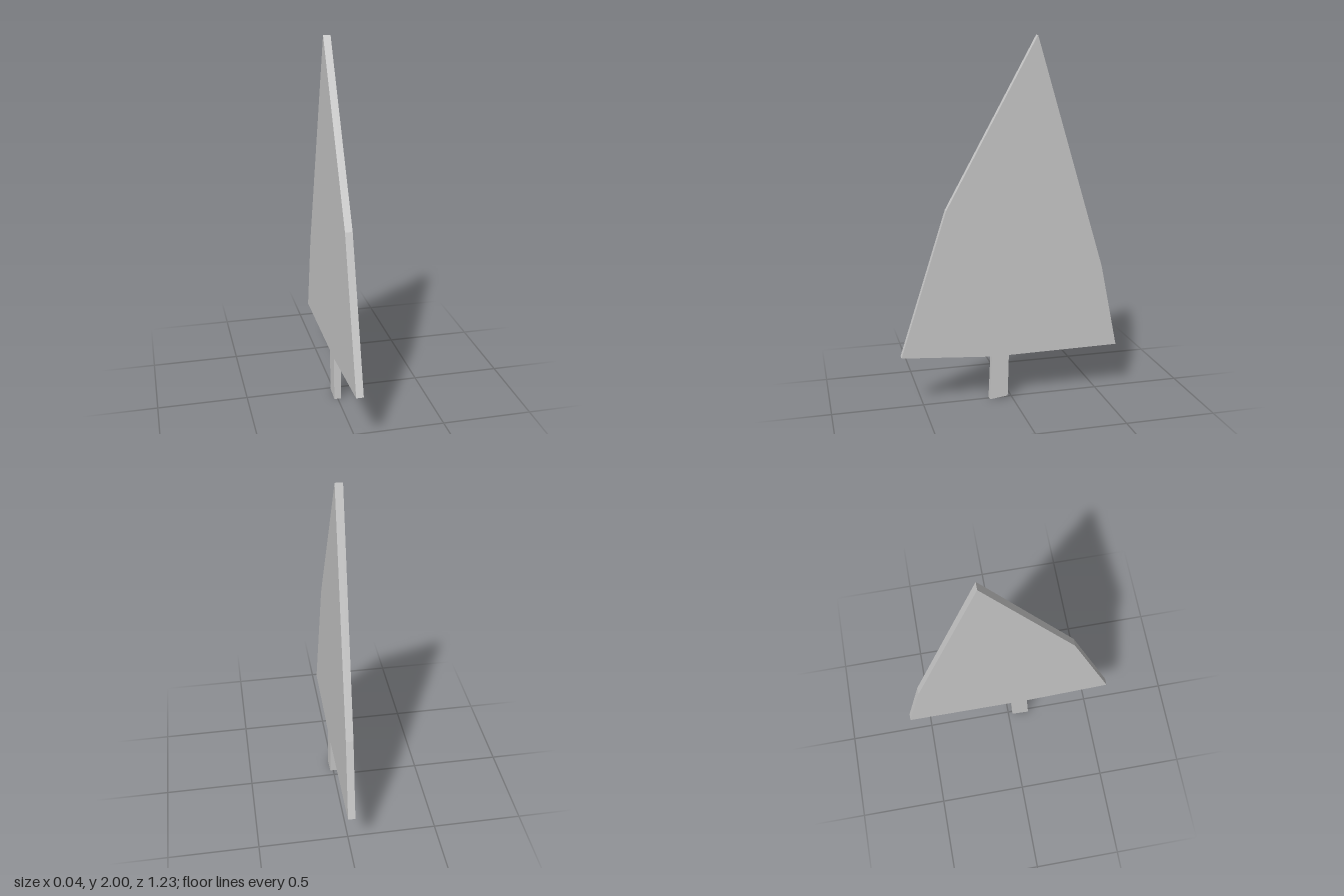
import * as THREE from 'three';

export function createModel() {
  const group = new THREE.Group();
  group.name = 'flatTree';
  const thickness = 0.04;

  // Outline of crown and trunk as [z, y]
  const outline = [
    [-0.14, 2], [0.36, 1.09], [0.617, 0.29],
    [0.115, 0.253], [0.127, 0], [0.025, 0.012], [0.018, 0.253],
    [-0.615, 0.26], [-0.52, 0.73],
  ];
  const shape = new THREE.Shape(outline.map(([z, y]) => new THREE.Vector2(-z, y)));

  // Flat board, extruded across x
  const geometry = new THREE.ExtrudeGeometry(shape, { depth: thickness, bevelEnabled: false });
  geometry.translate(0, 0, -thickness / 2);
  geometry.rotateY(Math.PI / 2);

  const board = new THREE.Mesh(
    geometry,
    new THREE.MeshStandardMaterial({ color: 0xcccccc, flatShading: true })
  );
  board.name = 'treeBoard';
  group.add(board);
  return group;
}
